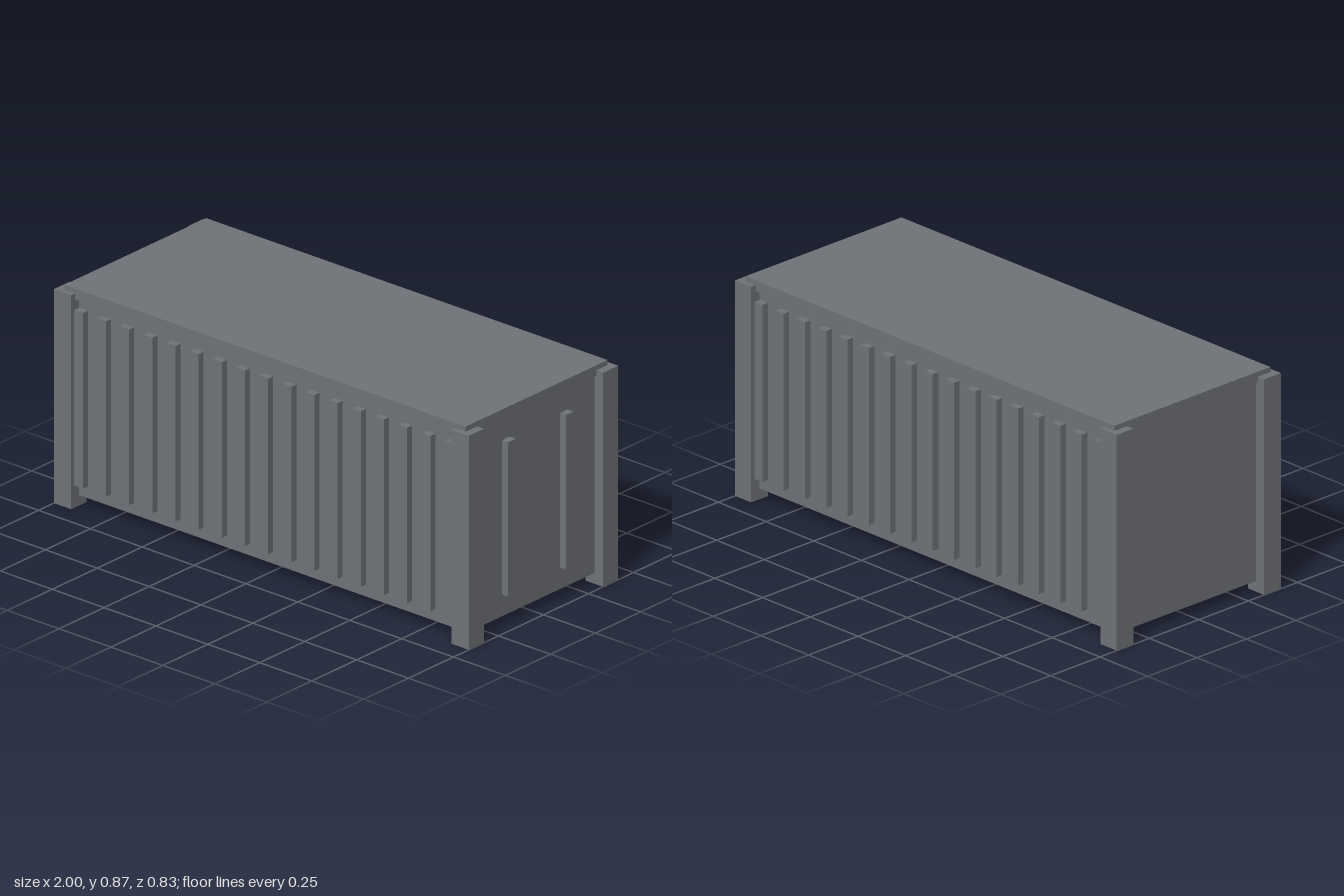
import * as THREE from 'three';

export function createModel() {
  const model = new THREE.Group();
  model.name = 'shippingContainer';

  const steel = new THREE.MeshStandardMaterial({ color: 0x70747a });
  steel.name = 'grey steel';

  // Box given by its size, centre x and z, and bottom and top heights
  function addBox(name, width, depth, bottom, top, x = 0, z = 0) {
    const mesh = new THREE.Mesh(new THREE.BoxGeometry(width, top - bottom, depth), steel);
    mesh.name = name;
    mesh.position.set(x, (bottom + top) / 2, z);
    model.add(mesh);
  }

  const halfLength = 0.958;
  const halfWidth = 0.373;

  // Main hull and overhanging roof slab
  addBox('body', halfLength * 2, halfWidth * 2, 0.043, 0.83);
  addBox('roof', 1.934, 0.788, 0.83, 0.873);

  // Corner posts, which also form the feet
  for (const sx of [-1, 1]) {
    for (const sz of [-1, 1]) {
      addBox('cornerPost', 0.084, 0.084, 0, 0.853, sx * halfLength, sz * halfWidth);
    }
  }

  // Vertical ribs along both long walls
  const ribCount = 17;
  const ribSpacing = 0.1116;
  for (const sz of [-1, 1]) {
    for (let i = 0; i < ribCount; i++) {
      const x = (i - (ribCount - 1) / 2) * ribSpacing;
      addBox('sideRib', 0.042, 0.056, 0.09, 0.79, x, sz * halfWidth);
    }
  }

  // Two locking bars on the door end
  for (const sz of [-1, 1]) {
    addBox('lockingBar', 0.058, 0.042, 0.13, 0.745, halfLength, sz * 0.161);
  }

  return model;
}
